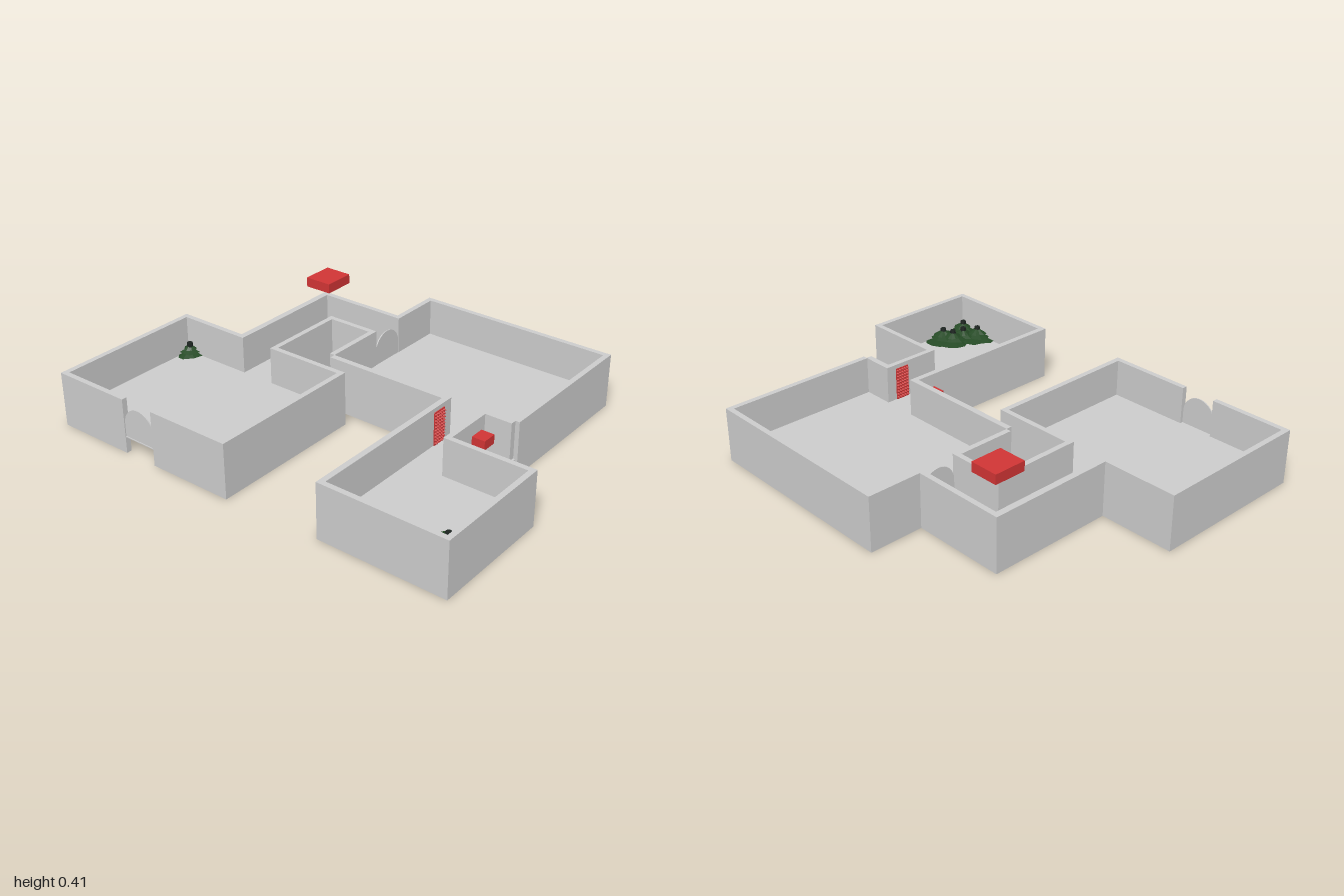
import * as THREE from 'three';

const H = 0.255, FLOOR = 0.08, T = 0.025;
const grey = new THREE.MeshStandardMaterial({ color: 0xcccccc });
const greySheet = new THREE.MeshStandardMaterial({ color: 0xcccccc, side: THREE.DoubleSide });
const red = new THREE.MeshStandardMaterial({ color: 0xd03535 });
const green = new THREE.MeshStandardMaterial({ color: 0x254a25, flatShading: true, side: THREE.DoubleSide });
const dark = new THREE.MeshStandardMaterial({ color: 0x1c2420, flatShading: true });

// Box given by its limits on each axis
function block(name, material, x0, x1, y0, y1, z0, z1) {
  const mesh = new THREE.Mesh(new THREE.BoxGeometry(x1 - x0, y1 - y0, z1 - z0), material);
  mesh.position.set((x0 + x1) / 2, (y0 + y1) / 2, (z0 + z1) / 2);
  mesh.name = name;
  return mesh;
}

// Walls from plan rectangles [x0, x1, z0, z1], with floors set above the wall feet
function area(name, walls, floors) {
  const group = new THREE.Group();
  group.name = name;
  for (const [x0, x1, z0, z1] of walls) group.add(block('wall', grey, x0, x1, 0, H, z0, z1));
  for (const [x0, x1, z0, z1] of floors) group.add(block('floor', grey, x0, x1, FLOOR - 0.004, FLOOR, z0, z1));
  return group;
}

// Thin door with a round top, standing on the floor
function archedDoor(width, x, z, turn) {
  const r = width / 2, spring = 0.225 - FLOOR - r;
  const shape = new THREE.Shape();
  shape.moveTo(-r, 0);
  shape.lineTo(r, 0);
  shape.lineTo(r, spring);
  shape.absarc(0, spring, r, 0, Math.PI, false);
  shape.closePath();
  const mesh = new THREE.Mesh(new THREE.ExtrudeGeometry(shape, { depth: 0.005, bevelEnabled: false }), greySheet);
  mesh.position.set(x, FLOOR, z);
  mesh.rotation.y = turn;
  mesh.name = 'archedDoor';
  return mesh;
}

// Low bush: ragged leaf tiers around a stem, kept inside the limits [x0, x1, z0, z1]
function bush(x, z, radius, limits) {
  const group = new THREE.Group();
  group.name = 'bush';
  for (let tier = 0; tier < 3; tier++) {
    const r = radius * (1 - tier * 0.25);
    const geo = new THREE.ConeGeometry(r, 0.025, 14, 1, true);
    const p = geo.attributes.position;
    for (let i = 0; i < p.count; i++) {
      const step = Math.round((Math.atan2(p.getZ(i), p.getX(i)) / Math.PI) * 7);
      const k = Math.abs(step) % 2 ? 1 : 0.82;
      p.setXYZ(
        i,
        THREE.MathUtils.clamp(x + p.getX(i) * k, limits[0], limits[1]),
        FLOOR + 0.018 + tier * 0.014 + p.getY(i),
        THREE.MathUtils.clamp(z + p.getZ(i) * k, limits[2], limits[3])
      );
    }
    geo.computeVertexNormals();
    const leaves = new THREE.Mesh(geo, green);
    leaves.name = 'leaves';
    group.add(leaves);
  }
  const stem = new THREE.Mesh(new THREE.CylinderGeometry(0.014, 0.02, 0.075, 7), dark);
  stem.position.set(x, FLOOR + 0.027, z);
  stem.name = 'stem';
  group.add(stem);
  return group;
}

// Red spiked press: plate inside the corridor wall and drive box outside
function press(wallZ, inward) {
  const group = new THREE.Group();
  group.name = 'spikedPress';
  const face = wallZ + inward * 0.004;
  group.add(block('plate', red, -0.07, 0, FLOOR, 0.235, Math.min(wallZ, face), Math.max(wallZ, face)));
  const spike = new THREE.ConeGeometry(0.007, 0.012, 6);
  for (let i = 0; i < 5; i++) for (let j = 0; j < 10; j++) {
    const mesh = new THREE.Mesh(spike, red);
    mesh.rotation.x = inward * Math.PI / 2;
    mesh.position.set(-0.063 + i * 0.014, FLOOR + 0.01 + j * 0.015, face + inward * 0.006);
    mesh.name = 'spike';
    group.add(mesh);
  }
  const outer = wallZ - inward * T, far = outer - inward * 0.062;
  group.add(block('driveBox', red, -0.07, 0, 0.15, 0.192, Math.min(outer, far), Math.max(outer, far)));
  return group;
}

export function createModel() {
  const model = new THREE.Group();
  model.name = 'dungeonRooms';

  model.add(area('backRoom', [
    [-0.8, -0.05, -1, -0.975],
    [-0.8, -0.05, -0.075, -0.05],
    [-0.8, -0.775, -0.975, -0.62],
    [-0.8, -0.775, -0.455, -0.075],
    [-0.075, -0.05, -0.975, -0.62],
    [-0.075, -0.05, -0.455, -0.075],
  ], [[-0.799, -0.051, -0.999, -0.051]]));

  model.add(area('bentCorridor', [
    [-0.05, 0.545, -0.65, -0.62],
    [0.52, 0.545, -0.62, -0.215],
    [-0.05, 0.35, -0.455, -0.43],
    [0.325, 0.35, -0.43, -0.215],
  ], [[-0.051, 0.53, -0.63, -0.445], [0.34, 0.53, -0.445, -0.2]]));

  model.add(area('mainRoom', [
    [0.05, 0.35, -0.215, -0.19],
    [0.52, 0.8, -0.215, -0.19],
    [0.775, 0.8, -0.19, 0.735],
    [0.05, 0.8, 0.735, 0.76],
    [0.022, 0.05, -0.19, 0.43],
    [0.022, 0.05, 0.59, 0.74],
  ], [[0.03, 0.79, -0.2, 0.75]]));

  model.add(area('frontRoom', [
    [-0.785, 0.022, 0.403, 0.43],
    [-0.785, -0.76, 0.43, 0.975],
    [-0.785, -0.21, 0.975, 1],
    [-0.235, -0.21, 0.615, 0.975],
    [-0.235, 0.022, 0.59, 0.615],
  ], [[-0.775, 0.03, 0.42, 0.6], [-0.775, -0.22, 0.6, 0.99]]));

  model.add(archedDoor(0.165, -0.795, -0.5375, Math.PI / 2));
  model.add(archedDoor(0.17, 0.435, -0.197, 0));

  model.add(press(0.43, 1), press(0.59, -1));
  model.add(block('floatingBlock', red, 0.36, 0.51, 0.36, 0.405, -0.607, -0.475));

  // Bushes in the room corners
  model.add(bush(-0.1, -0.94, 0.065, [-0.2, -0.077, -0.973, -0.8]));
  model.add(bush(0.74, 0.695, 0.065, [0.6, 0.773, 0.6, 0.733]));
  const corner = [-0.758, -0.4, 0.6, 0.973];
  for (const [x, z, r] of [[-0.725, 0.93, 0.09], [-0.59, 0.93, 0.1], [-0.73, 0.83, 0.1], [-0.61, 0.88, 0.09], [-0.67, 0.87, 0.08]])
    model.add(bush(x, z, r, corner));

  return model;
}
